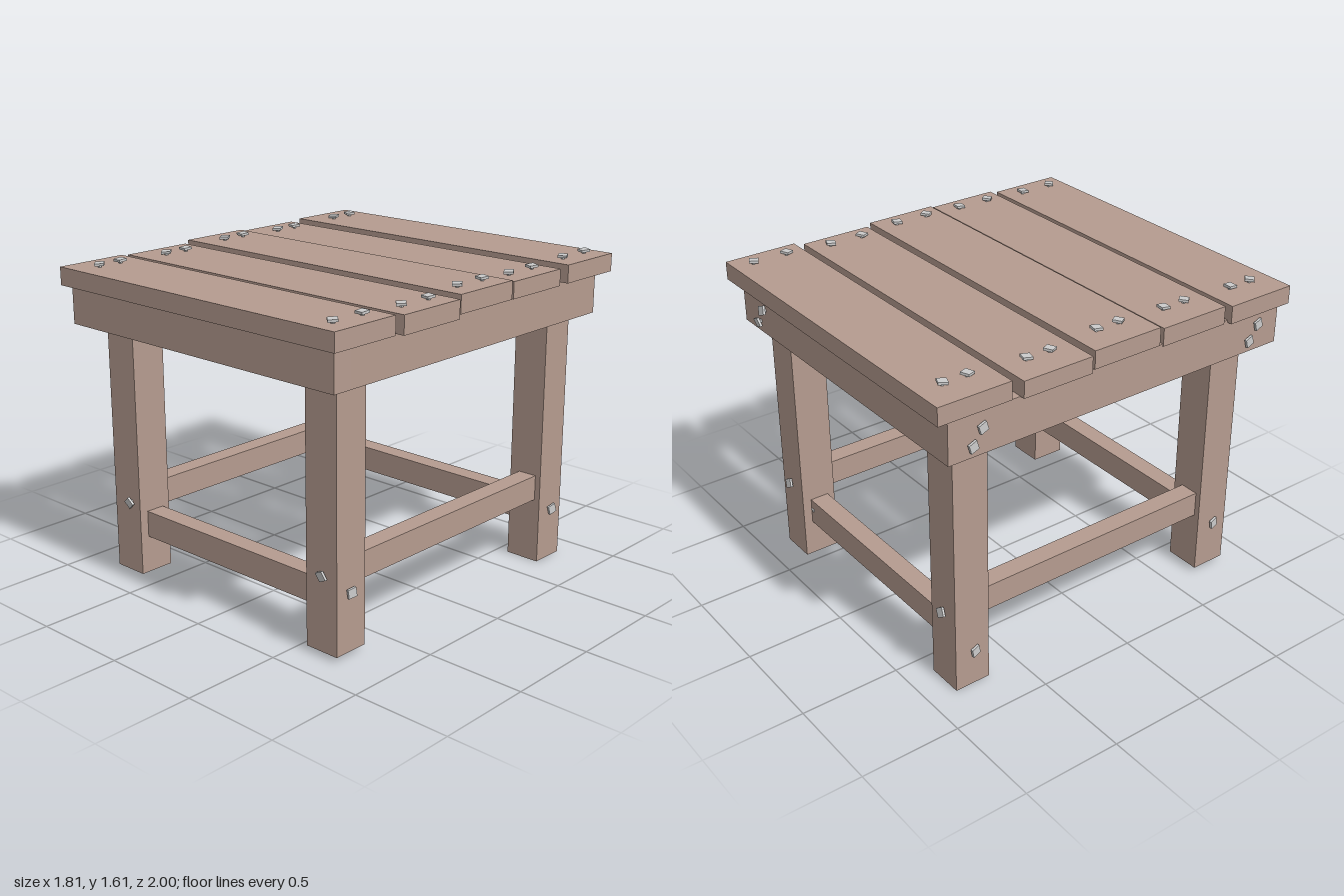
import * as THREE from 'three';

const wood = new THREE.MeshStandardMaterial({ color: 0xb59b8f, flatShading: true });
const metal = new THREE.MeshStandardMaterial({ color: 0xcccccc, flatShading: true });

// Box given by its extents along each axis
function board(name, [x0, x1], [y0, y1], [z0, z1]) {
  const mesh = new THREE.Mesh(new THREE.BoxGeometry(x1 - x0, y1 - y0, z1 - z0), wood);
  mesh.position.set((x0 + x1) / 2, (y0 + y1) / 2, (z0 + z1) / 2);
  mesh.name = name;
  return mesh;
}

// Nail with a square head; its local +y points out of the wood, origin at the surface
function nail(name, point, out, spin, tilt = 0.1) {
  const g = new THREE.Group();
  g.name = name;
  const shaft = new THREE.Mesh(new THREE.CylinderGeometry(0.01, 0.008, 0.23, 6), metal);
  shaft.position.y = -0.1;
  shaft.name = 'nailShaft';
  const head = new THREE.Mesh(new THREE.BoxGeometry(0.045, 0.012, 0.045), metal);
  head.position.y = 0.016;
  head.name = 'nailHead';
  const lean = new THREE.Group();
  lean.rotation.set(tilt, spin, 0);
  lean.add(shaft, head);
  g.add(lean);
  g.position.set(...point);
  g.quaternion.setFromUnitVectors(new THREE.Vector3(0, 1, 0), new THREE.Vector3(...out));
  return g;
}

export function createModel() {
  const model = new THREE.Group();
  model.name = 'woodenTable';

  // Top planks, slightly uneven: [x start, x end, z start, z end, bottom, top]
  const planks = [
    [-0.895, 0.89, -0.995, -0.62, 1.5, 1.59],
    [-0.91, 0.88, -0.57, -0.2, 1.495, 1.578],
    [-0.895, 0.89, -0.175, 0.2, 1.5, 1.59],
    [-0.89, 0.905, 0.225, 0.6, 1.485, 1.575],
    [-0.91, 0.88, 0.625, 1.0, 1.485, 1.575],
  ];
  planks.forEach(([x0, x1, z0, z1, y0, y1], i) => {
    model.add(board('topPlank', [x0, x1], [y0, y1], [z0, z1]));
    const zc = (z0 + z1) / 2;
    for (const s of [-1, 1]) {
      model.add(nail('plankNail', [x0 + 0.145, y1, zc + s * 0.063], [0, 1, 0], s * 0.4 + i * 0.1, 0.08));
      model.add(nail('plankNail', [x1 - 0.1, y1, zc + s * 0.09], [0, 1, 0], s * 0.45 + i * 0.1, 0.08));
    }
  });

  // Apron frame below the planks
  model.add(
    board('frontApron', [-0.886, 0.833], [1.29, 1.484], [0.846, 0.953]),
    board('backApron', [-0.886, 0.833], [1.29, 1.497], [-0.942, -0.856]),
    board('rightApron', [-0.886, -0.77], [1.29, 1.497], [-0.942, 0.953]),
    board('leftApron', [0.735, 0.833], [1.29, 1.497], [-0.942, 0.953]),
  );

  // Legs
  for (const [z, y] of [[[0.66, 0.845], 0.025], [[-0.857, -0.672], 0]]) {
    const right = y > 0 ? [-0.768, -0.583] : [-0.79, -0.605];
    model.add(board('rightLeg', right, [y, 1.484], z));
    model.add(board('leftLeg', [0.562, 0.747], [y, 1.484], z));
  }

  // Stretchers, let into the legs
  model.add(
    board('frontStretcher', [-0.65, 0.65], [0.215, 0.35], [0.7, 0.798]),
    board('backStretcher', [-0.65, 0.65], [0.19, 0.325], [-0.81, -0.712]),
    board('rightStretcher', [-0.738, -0.638], [0.335, 0.465], [-0.75, 0.75]),
    board('leftStretcher', [0.617, 0.717], [0.335, 0.465], [-0.75, 0.75]),
  );

  // Nails through the legs into the stretchers: [point, outward direction, spin]
  const legNails = [
    [[-0.645, 0.4, 0.845], [0, 0, 1], 0.75],
    [[0.667, 0.405, 0.845], [0, 0, 1], 0.45],
    [[-0.7, 0.4, -0.857], [0, 0, -1], 0.6],
    [[0.667, 0.395, -0.857], [0, 0, -1], 0.5],
    [[0.747, 0.32, 0.76], [1, 0, 0], 0.15],
    [[0.747, 0.27, -0.768], [1, 0, 0], 0.3],
    [[-0.768, 0.275, 0.75], [-1, 0, 0], 0.2],
    [[-0.79, 0.195, -0.76], [-1, 0, 0], 0.2],
  ];
  for (const [p, d, s] of legNails) model.add(nail('legNail', p, d, s, 0.2));

  // Nails through the aprons into the legs
  for (const [y, shift] of [[1.42, 0.025], [1.345, -0.025]]) {
    model.add(nail('apronNail', [0.65 - shift, y, -0.945], [0, 0, -1], 0.4, shift * 8));
    for (const z of [-0.8, 0.79]) {
      model.add(nail('apronNail', [-0.884, y + 0.005, z + shift], [-1, 0, 0], 0.3, 0.1));
    }
  }
  return model;
}
